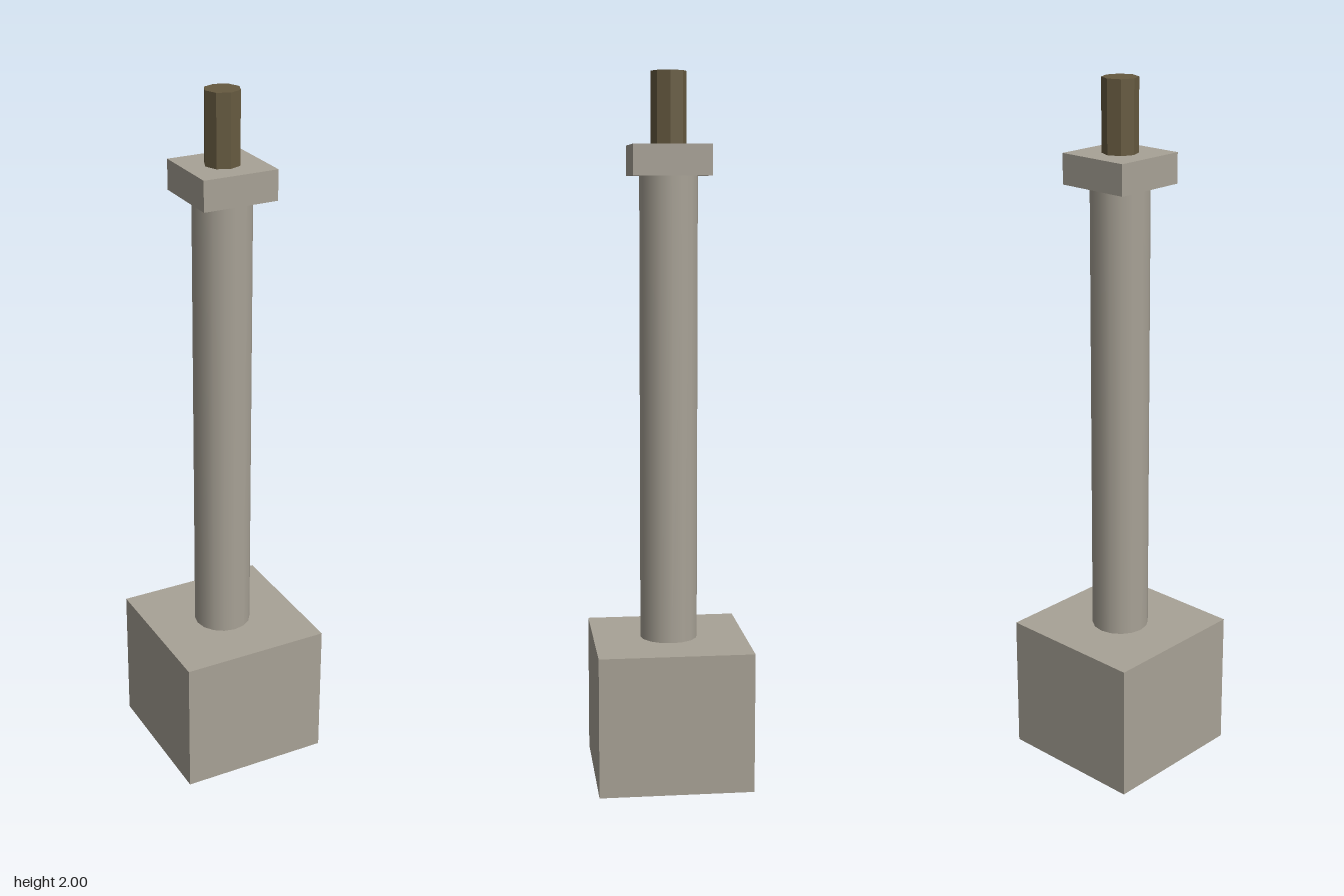
import * as THREE from 'three';

const stone = new THREE.MeshStandardMaterial({ color: 0xa8a296 });
const openStone = new THREE.MeshStandardMaterial({ color: 0xa8a296, side: THREE.DoubleSide });
const wood = new THREE.MeshStandardMaterial({ color: 0x665a40, flatShading: true });

export function createModel() {
  const model = new THREE.Group();
  const add = (name, geometry, material, bottom, height) => {
    const mesh = new THREE.Mesh(geometry, material);
    mesh.name = name;
    mesh.position.y = bottom + height / 2;
    model.add(mesh);
  };

  // Square base, hollow and open underneath: drop the box's bottom face
  const base = new THREE.BoxGeometry(0.437, 0.4, 0.437);
  const index = Array.from(base.index.array);
  index.splice(18, 6);
  base.setIndex(index);
  base.clearGroups();
  add('base', base, openStone, 0, 0.4);

  // Smooth round shaft
  add('shaft', new THREE.CylinderGeometry(0.082, 0.082, 1.315, 16), stone, 0.4, 1.315);

  // Square cap slab
  add('cap', new THREE.BoxGeometry(0.217, 0.085, 0.217), stone, 1.715, 0.085);

  // Eight-sided wooden peg
  add('peg', new THREE.CylinderGeometry(0.05, 0.05, 0.2, 8), wood, 1.8, 0.2);

  return model;
}
